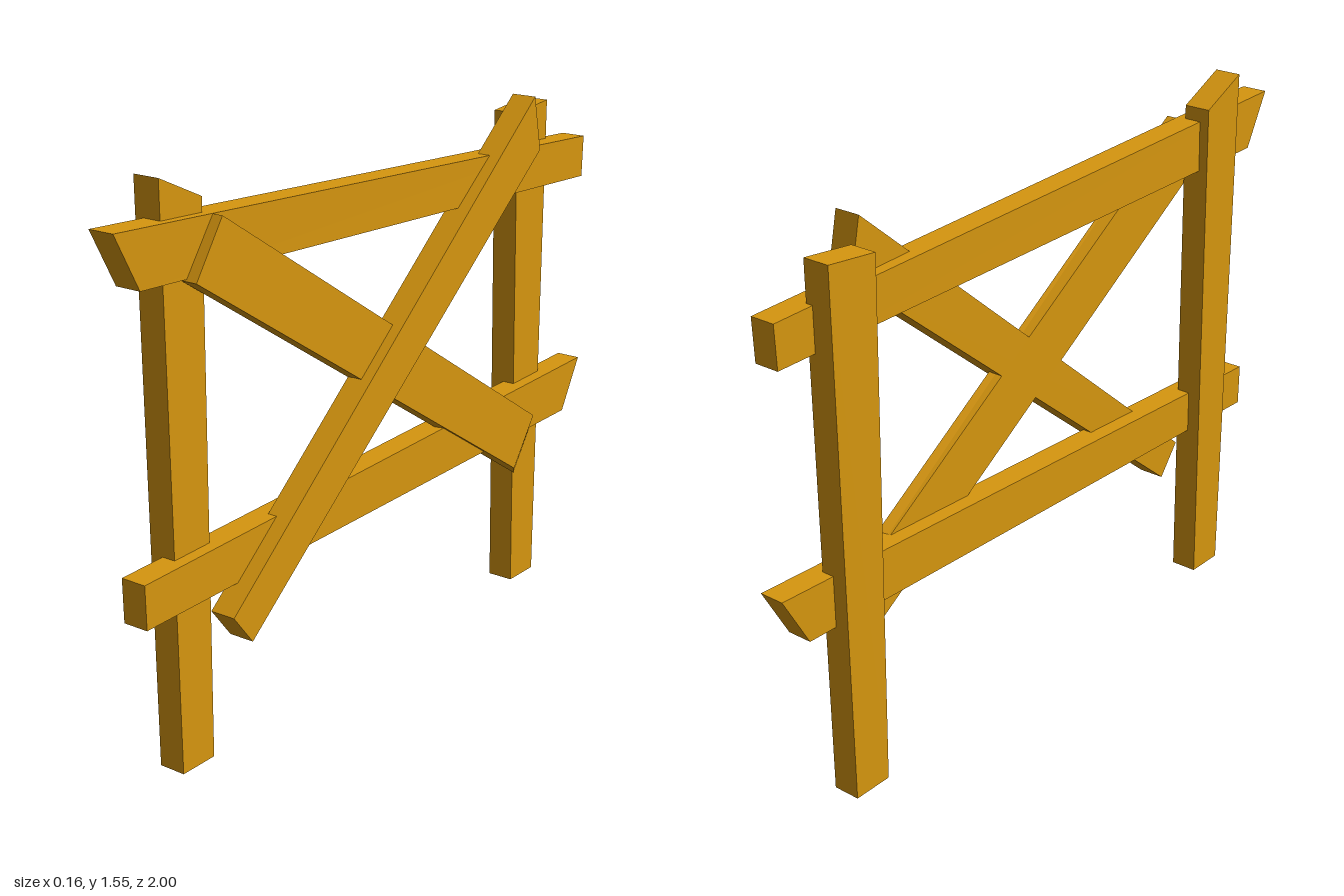
import * as THREE from 'three';

const wood = new THREE.MeshStandardMaterial({ color: 0xd6960f, side: THREE.DoubleSide });
wood.name = 'ochre wood';

// End cut of a plank: inner face at x0 and outer face at x1, each with an
// upper/front and a lower/back corner given as [z, y].
function cut(x0, x1, a, b, outerA = a, outerB = b) {
  return [[x0, a], [x0, b], [x1, outerB], [x1, outerA]].map(([x, [z, y]]) => [x, y, z]);
}

// Four-sided plank between two end cuts, optionally open at the start
function plank(name, start, end, openStart = false) {
  const pos = [];
  const quad = (a, b, c, d) => pos.push(...a, ...b, ...c, ...a, ...c, ...d);
  for (let i = 0; i < 4; i++) {
    const j = (i + 1) % 4;
    quad(start[i], end[i], end[j], start[j]);
  }
  quad(end[3], end[2], end[1], end[0]);
  if (!openStart) quad(...start);
  const geo = new THREE.BufferGeometry();
  geo.setAttribute('position', new THREE.Float32BufferAttribute(pos, 3));
  geo.computeVertexNormals();
  const mesh = new THREE.Mesh(geo, wood);
  mesh.name = name;
  return mesh;
}

export function createModel() {
  const fence = new THREE.Group();
  fence.name = 'woodenFence';
  fence.add(
    // Upright posts, hollow underneath
    plank('frontPost',
      cut(-0.08, -0.002, [0.81, 0], [0.693, 0]),
      cut(-0.08, -0.002, [0.825, 1.55], [0.678, 1.48]), true),
    plank('backPost',
      cut(-0.08, -0.002, [-0.7, 0], [-0.818, 0]),
      cut(-0.08, -0.002, [-0.678, 1.465], [-0.835, 1.48]), true),
    // Horizontal rails with skewed ends
    plank('topRail',
      cut(-0.058, 0.018, [1.0, 1.457], [0.92, 1.305]),
      cut(-0.02, 0.053, [-0.957, 1.36], [-0.952, 1.24])),
    plank('bottomRail',
      cut(-0.042, 0.033, [0.96, 0.588], [0.958, 0.468]),
      cut(-0.038, 0.034, [-1.0, 0.655], [-0.915, 0.505])),
    // Wide diagonal, bevelled at its lower end
    plank('wideBrace',
      cut(0.005, 0.054, [0.67, 1.44], [0.768, 1.295]),
      cut(0.005, 0.042, [-0.79, 0.5], [-0.692, 0.36], [-0.737, 0.54], [-0.637, 0.4])),
    // Narrow diagonal crossing over it
    plank('narrowBrace',
      cut(0.005, 0.08, [0.695, 0.415], [0.625, 0.325]),
      cut(0.005, 0.08, [-0.642, 1.527], [-0.675, 1.37])),
  );
  return fence;
}
